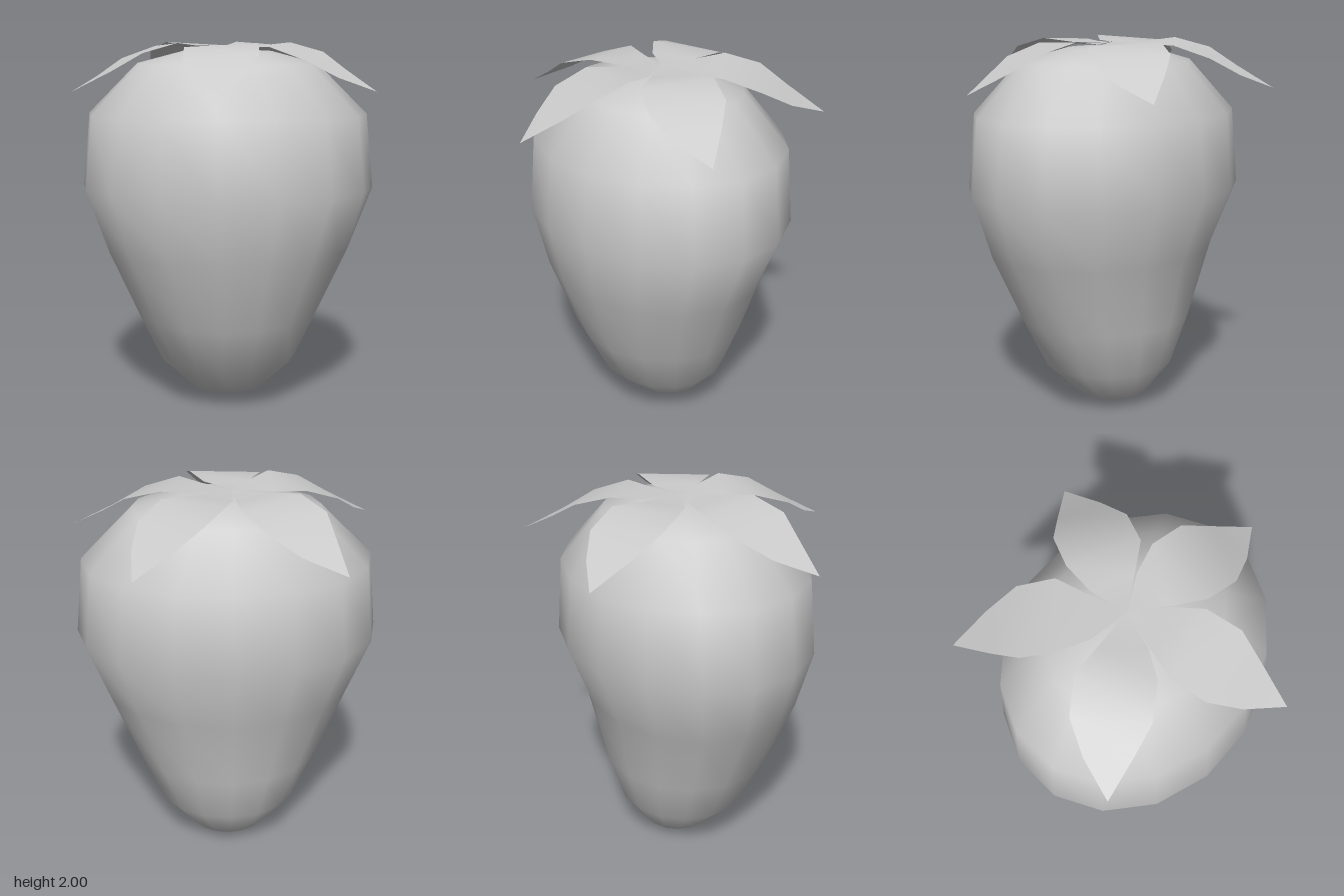
import * as THREE from 'three';
import { mergeVertices } from 'three/addons/utils/BufferGeometryUtils.js';

const grey = new THREE.MeshStandardMaterial({ color: 0xcccccc });
const leafGrey = new THREE.MeshStandardMaterial({ color: 0xcccccc, side: THREE.DoubleSide });

// Fruit: elliptical 16-sided rings, each [height, half width, half depth, z centre]
function makeFruit() {
  const rings = [
    [0, 0, 0, -0.11], [0.06, 0.2, 0.185, -0.115], [0.24, 0.38, 0.35, -0.08],
    [0.5, 0.5, 0.455, -0.055], [0.88, 0.67, 0.565, -0.025], [1.22, 0.8, 0.665, -0.05],
    [1.62, 0.76, 0.635, -0.05], [1.89, 0.49, 0.42, -0.05], [1.955, 0.24, 0.21, -0.07],
    [1.965, 0, 0, -0.08],
  ];
  let geo = new THREE.LatheGeometry(rings.map(r => new THREE.Vector2(1, r[0])), 16);
  const p = geo.attributes.position;
  for (let i = 0; i < p.count; i++) {
    const [y, rx, rz, cz] = rings[i % rings.length];
    p.setXYZ(i, p.getX(i) * rx, y, cz + p.getZ(i) * rz);
  }
  // weld the seam and poles so the shading is smooth all round
  geo.deleteAttribute('uv');
  geo.deleteAttribute('normal');
  geo = mergeVertices(geo, 1e-4);
  geo.computeVertexNormals();
  return geo;
}

// Leaf: rows along +z from the stem, each [left x, left y, left z, right x, right y, right z]
function makeLeaf() {
  const rows = [
    [0, 1.983, 0, 0, 1.983, 0],
    [-0.115, 1.975, 0.18, 0.118, 1.982, 0.17],
    [-0.205, 1.98, 0.325, 0.176, 2.0, 0.325],
    [-0.21, 1.915, 0.515, 0.174, 1.95, 0.513],
    [-0.132, 1.825, 0.675, 0.104, 1.86, 0.656],
    [0, 1.75, 0.85, 0, 1.75, 0.85],
  ];
  const index = [];
  for (let i = 0; i < rows.length - 1; i++) {
    const a = i * 2;
    if (i < rows.length - 2) index.push(a, a + 2, a + 3);
    if (i > 0) index.push(a, a + 3, a + 1);
  }
  const geo = new THREE.BufferGeometry();
  geo.setAttribute('position', new THREE.Float32BufferAttribute(rows.flat(), 3));
  geo.setIndex(index);
  geo.computeVertexNormals();
  return geo;
}

export function createModel() {
  const model = new THREE.Group();
  model.name = 'strawberry';

  const fruit = new THREE.Mesh(makeFruit(), grey);
  fruit.name = 'fruit';
  model.add(fruit);

  // Five leaves fanned around the stem point
  const crown = new THREE.Group();
  crown.name = 'leafCrown';
  crown.position.set(-0.02, 0, -0.08);
  const leafGeo = makeLeaf();
  [4.4, 74, 144, 216, 295.4].forEach((deg, i) => {
    const leaf = new THREE.Mesh(leafGeo, leafGrey);
    leaf.name = `leaf${i + 1}`;
    leaf.rotation.y = THREE.MathUtils.degToRad(deg);
    crown.add(leaf);
  });
  model.add(crown);
  return model;
}
